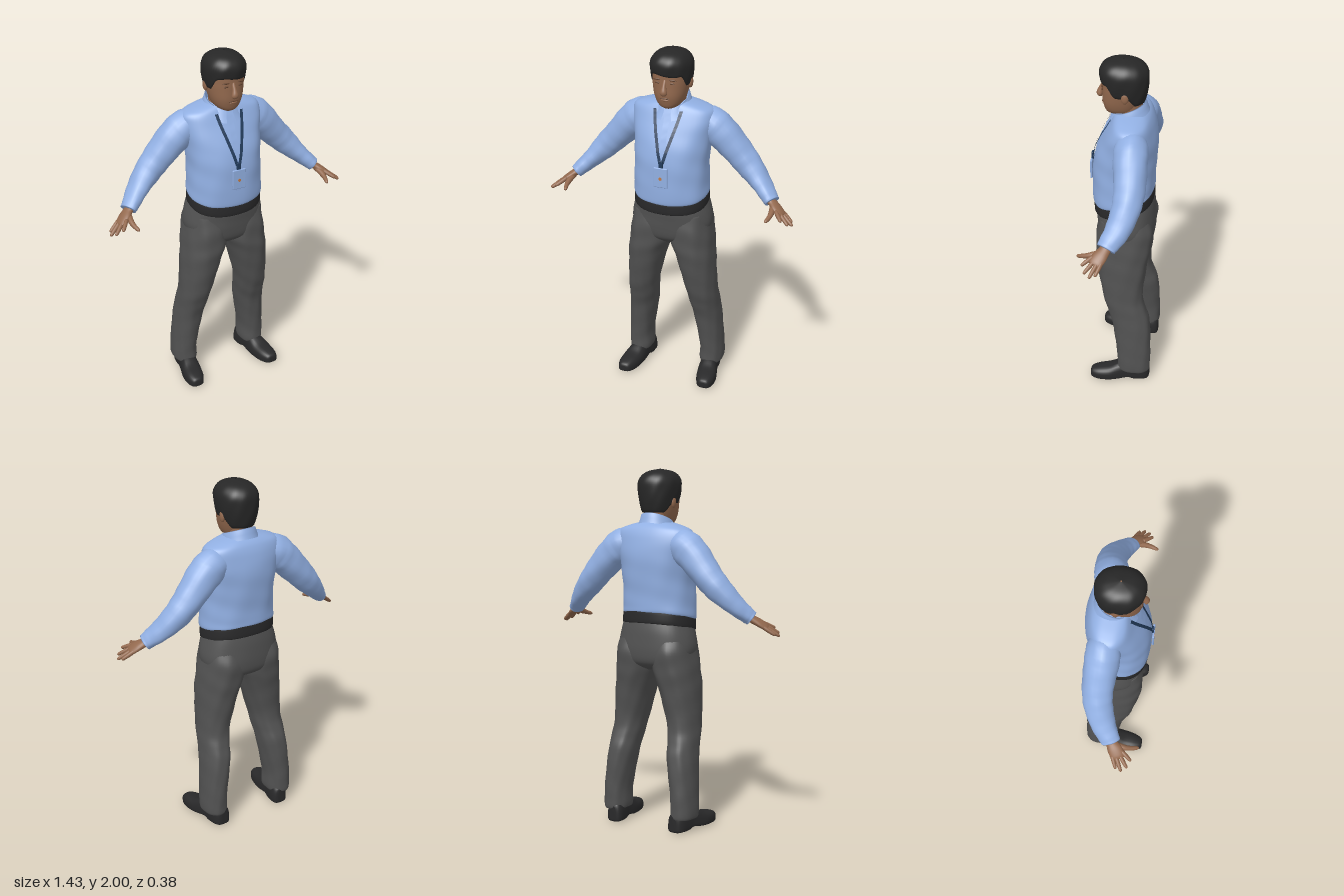
import * as THREE from 'three';
import { RoundedBoxGeometry } from 'three/addons/geometries/RoundedBoxGeometry.js';

const V = (x, y, z) => new THREE.Vector3(x, y, z);
const paint = (name, color, open) => {
  const m = new THREE.MeshStandardMaterial({ color });
  m.name = name;
  if (open) m.side = THREE.DoubleSide;
  return m;
};

// Smoothly resample rows of numbers with a Catmull-Rom rule
function smooth(rows, steps) {
  const out = [], last = rows.length - 1;
  for (let i = 0; i < last; i++) {
    const [a, b, c, d] = [rows[Math.max(i - 1, 0)], rows[i], rows[i + 1], rows[Math.min(i + 2, last)]];
    for (let k = 0; k < steps; k++) {
      const t = k / steps;
      out.push(b.map((p, j) => p + 0.5 * t * (c[j] - a[j] + t * (2 * a[j] - 5 * p + 4 * c[j] - d[j]
        + t * (3 * (p - c[j]) + d[j] - a[j])))));
    }
  }
  out.push(rows[last].slice());
  return out;
}

// Surface through a list of equal-length rings
function skin(rings, closed = true, caps = true) {
  if (caps) {
    const middle = r => r.map(() => r.reduce((s, p) => s.add(p), V(0, 0, 0)).divideScalar(r.length));
    const ends = [middle(rings[0]), middle(rings[rings.length - 1])].map(r => r.map(p => p.clone()));
    rings = [ends[0], ...rings, ends[1]];
  }
  const n = rings[0].length, index = [];
  for (let v = 0; v < rings.length - 1; v++) {
    for (let u = 0; u < (closed ? n : n - 1); u++) {
      const a = v * n + u, b = v * n + (u + 1) % n;
      index.push(a, a + n, b, b, a + n, b + n);
    }
  }
  const g = new THREE.BufferGeometry().setFromPoints(rings.flat());
  g.setIndex(index);
  g.computeVertexNormals();
  return g;
}

const spow = (v, p) => Math.sign(v) * Math.abs(v) ** p;
const turn = (n, f) => Array.from({ length: n }, (_, i) => f(i / n * Math.PI * 2));

// Upright form, rows bottom up: [y, x centre, half width, back z, front z, tilt]
const POWER = 2.3;
function column(rows, folds = 0, steps = 6) {
  return skin(smooth(rows, steps).map(([y, xc, hw, zb, zf, tilt = 0]) => turn(48, a => {
    const f = 1 + folds * Math.sin(y * 31 + a * 3) * Math.sin(a * 5 - y * 17);
    const z = (zb + zf) / 2 + (zf - zb) / 2 * f * spow(Math.sin(a), 2 / POWER);
    return V(xc + hw * f * spow(Math.cos(a), 2 / POWER), y - tilt * z, z);
  })));
}

// Front surface of a column at (x, y)
function frontZ(rows, x, y) {
  const s = smooth(rows, 20).reduce((p, q) => Math.abs(q[0] - y) < Math.abs(p[0] - y) ? q : p);
  const k = Math.max(0, 1 - Math.abs(x / s[2]) ** POWER) ** (1 / POWER);
  return (s[3] + s[4]) / 2 + (s[4] - s[3]) / 2 * k;
}

// Form along a path: [x, y, z, radius across, radius sideways]
function limb(rows, folds = 0, steps = 5, sides = 24) {
  const s = smooth(rows, steps), pts = s.map(r => V(r[0], r[1], r[2]));
  return skin(s.map((r, i) => {
    const t = pts[Math.min(i + 1, s.length - 1)].clone().sub(pts[Math.max(i - 1, 0)]).normalize();
    const n = V(0, 0, 1).cross(t).normalize(), b = n.clone().cross(t);
    return turn(sides, a => {
      const f = 1 + folds * Math.sin(i * 1.1 + a * 2) * Math.sin(a * 3 - i * 0.6);
      return pts[i].clone().addScaledVector(n, r[3] * f * Math.cos(a)).addScaledVector(b, r[4] * f * Math.sin(a));
    });
  }));
}

function mirrored(geo) {
  const g = geo.clone().scale(-1, 1, 1), ix = g.index.array;
  for (let i = 0; i < ix.length; i += 3) [ix[i], ix[i + 1]] = [ix[i + 1], ix[i]];
  g.computeVertexNormals();
  return g;
}

export function createModel() {
  const model = new THREE.Group();
  model.name = 'standingMan';
  const shirt = paint('shirtBlue', 0x91afe2, true), trouser = paint('trouserGrey', 0x525252);
  const hairMat = paint('hairBlack', 0x272727, true), flesh = paint('skin', 0x93694e);
  const feature = paint('faceShade', 0x674631), leather = paint('blackLeather', 0x29292a);
  const navy = paint('lanyardNavy', 0x223b5a, true), orange = paint('badgeOrange', 0xc07a45);
  const add = (name, geo, mat) => {
    const m = new THREE.Mesh(geo, mat);
    m.name = name;
    model.add(m);
    return m;
  };
  const pair = (name, geo, mat) => {
    add('left' + name, geo, mat);
    add('right' + name, mirrored(geo), mat);
  };
  const ball = (x, y, z, sx, sy, sz) => new THREE.SphereGeometry(1, 20, 14).scale(sx, sy, sz).translate(x, y, z);

  // Trousers
  add('trouserSeat', column([[0.89, 0, 0.14, -0.1, 0.08, 0], [0.93, 0, 0.2, -0.165, 0.125, 0],
    [1, 0, 0.23, -0.18, 0.14, 0], [1.08, 0, 0.222, -0.176, 0.147, 0.1], [1.15, 0, 0.203, -0.162, 0.152, 0.2]], 0.008), trouser);
  pair('TrouserLeg', column([[0.075, 0.223, 0.064, -0.183, 0], [0.1, 0.223, 0.068, -0.188, 0.004],
    [0.2, 0.221, 0.067, -0.188, 0.007], [0.4, 0.198, 0.077, -0.18, 0.035], [0.5, 0.187, 0.081, -0.153, 0.066],
    [0.6, 0.175, 0.086, -0.133, 0.095], [0.8, 0.143, 0.107, -0.155, 0.13], [0.9, 0.12, 0.12, -0.17, 0.137],
    [1, 0.115, 0.112, -0.175, 0.135], [1.08, 0.11, 0.1, -0.15, 0.12]], 0.022), trouser);
  add('belt', column([[1.125, 0, 0.2, -0.163, 0.15, 0.2], [1.13, 0, 0.21, -0.171, 0.16, 0.2],
    [1.19, 0, 0.208, -0.169, 0.16, 0.2], [1.195, 0, 0.2, -0.163, 0.15, 0.2]], 0, 3), leather);

  // Shoes, from toe to heel: [z, x centre, half width, height, underside]
  const shoeRows = [[0.16, 0.25, 0.018, 0.045, 0.015], [0.15, 0.249, 0.035, 0.06, 0.006], [0.11, 0.245, 0.052, 0.072, 0],
    [0.05, 0.237, 0.059, 0.083, 0], [0, 0.228, 0.056, 0.105, 0.003], [-0.06, 0.219, 0.05, 0.125, 0.014],
    [-0.1, 0.213, 0.051, 0.13, 0], [-0.15, 0.207, 0.05, 0.12, 0], [-0.175, 0.204, 0.038, 0.105, 0], [-0.183, 0.203, 0.02, 0.09, 0.01]];
  pair('Shoe', skin(smooth(shoeRows, 4).map(([z, xc, hw, top, low]) => turn(28, a => {
    const s = Math.sin(a), up = s > 0 ? 0.03 + (top - 0.03) * s ** 0.85 : 0.03 - (0.03 - low) * Math.abs(s) ** 0.35;
    return V(xc + hw * spow(Math.cos(a), 0.75), up, z);
  }))), leather);

  // Shirt body and sleeves
  const torso = [[1.183, 0, 0.195, -0.16, 0.15, 0.2], [1.19, 0, 0.21, -0.171, 0.166, 0.19], [1.25, 0, 0.209, -0.171, 0.168, 0.06],
    [1.35, 0, 0.205, -0.176, 0.167, 0], [1.45, 0, 0.21, -0.184, 0.155, 0], [1.55, 0, 0.224, -0.183, 0.117, 0],
    [1.62, 0, 0.235, -0.168, 0.082, 0], [1.665, 0, 0.222, -0.152, 0.06, 0], [1.69, 0, 0.165, -0.135, 0.048, 0],
    [1.71, 0, 0.085, -0.11, 0.035, 0]];
  add('shirtBody', column(torso, 0.012), shirt);
  pair('Sleeve', limb([[0.13, 1.6, -0.06, 0.075, 0.075], [0.2, 1.578, -0.068, 0.096, 0.09], [0.262, 1.53, -0.074, 0.093, 0.092],
    [0.355, 1.43, -0.083, 0.08, 0.084], [0.428, 1.353, -0.076, 0.071, 0.077], [0.505, 1.275, -0.045, 0.052, 0.068],
    [0.56, 1.222, -0.008, 0.042, 0.056], [0.58, 1.203, 0.004, 0.038, 0.052]], 0.03), shirt);

  // Ribbon lying on the chest through [x, y] points
  const ribbon = (path, half, lift) => skin([-half, half].map(o => smooth(path, 10)
    .map(([x, y]) => V(x + o, y, frontZ(torso, x + o, y) + lift))), false, false);
  add('placket', ribbon([[0, 1.66], [0, 1.5], [0, 1.35], [0, 1.25]], 0.016, 0.003), shirt);

  // Collar: stand and folded flap swept round the neck
  const collar = [];
  for (const [out, drop, tip] of [[-0.006, 0.05, 0], [0, 0, 0], [0.006, 0.002, 0], [0.014, 0.03, 0.01], [0.024, 0.055, 0.03]]) {
    const ring = [];
    for (let i = 0; i <= 48; i++) {
      const k = i / 48, a = Math.PI / 2 + 0.2 + k * (Math.PI * 2 - 0.4);
      const s = Math.sin(a), front = Math.max(0, s) ** 3;
      ring.push(V((0.082 + out) * Math.cos(a) * (1 + front * tip * 14),
        1.727 - 0.036 * s - drop - front * tip * 0.5, -0.028 + (0.086 + out) * s + front * tip * 0.5));
    }
    collar.push(ring);
  }
  add('collar', skin(collar, false, false), shirt);

  // Lanyard and badge
  for (const s of [-1, 1]) {
    add(s > 0 ? 'leftLanyard' : 'rightLanyard',
      ribbon([[s * 0.075, 1.672], [s * 0.06, 1.6], [s * 0.033, 1.5], [s * 0.006, 1.4]], 0.009, 0.007), navy);
  }
  add('badgeClip', new RoundedBoxGeometry(0.024, 0.045, 0.012, 2, 0.004), navy).position.set(0, 1.397, 0.173);
  add('badge', new RoundedBoxGeometry(0.08, 0.115, 0.012, 3, 0.005), shirt).position.set(0, 1.323, 0.177);
  add('badgeMark', new THREE.CylinderGeometry(0.009, 0.009, 0.003, 16).rotateX(Math.PI / 2), orange).position.set(0, 1.318, 0.184);

  // Hands
  const slope = (x, d = 0) => 1.112 + (0.71 - x) * 0.7 + d;
  pair('Palm', limb([[0.55, 1.222, -0.005, 0.024, 0.031], [0.585, 1.198, 0.01, 0.021, 0.032], [0.615, slope(0.615), 0.03, 0.019, 0.04],
    [0.642, slope(0.642), 0.046, 0.015, 0.039], [0.655, slope(0.655), 0.053, 0.009, 0.032]]), flesh);
  const fingers = [[0.645, 0.018, 0.705, 0.042], [0.65, 0.04, 0.715, 0.072], [0.642, 0.06, 0.697, 0.102], [0.625, 0.074, 0.662, 0.12]];
  fingers.forEach(([x0, z0, x1, z1], i) => {
    const at = (t, r) => { const x = x0 + (x1 - x0) * t; return [x, slope(x), z0 + (z1 - z0) * t, r, r]; };
    pair('Finger' + (i + 1), limb([at(-0.2, 0.011), at(0.3, 0.0115), at(0.8, 0.0095), at(0.95, 0.007), at(1, 0.003)], 0, 3, 12), flesh);
  });
  pair('Thumb', limb([[0.588, 1.186, 0.025, 0.015, 0.016], [0.597, 1.172, 0.07, 0.016, 0.017], [0.596, 1.16, 0.11, 0.013, 0.013],
    [0.588, 1.15, 0.145, 0.01, 0.01], [0.585, 1.147, 0.156, 0.004, 0.004]], 0, 4, 14), flesh);

  // Neck, head and ears
  add('neck', column([[1.64, 0, 0.066, -0.095, 0.045], [1.69, 0, 0.066, -0.098, 0.042], [1.78, 0, 0.068, -0.1, 0.04]]), flesh);
  const head = [[1.685, 0, 0.03, -0.02, 0.078], [1.697, 0, 0.052, -0.05, 0.094], [1.72, 0, 0.072, -0.07, 0.104],
    [1.76, 0, 0.087, -0.09, 0.113], [1.81, 0, 0.097, -0.11, 0.114], [1.85, 0, 0.1, -0.115, 0.114],
    [1.9, 0, 0.099, -0.115, 0.112], [1.95, 0, 0.08, -0.09, 0.085], [1.975, 0, 0.04, -0.04, 0.04]];
  add('head', column(head), flesh);
  pair('Ear', ball(0.1, 1.818, -0.018, 0.012, 0.032, 0.02), flesh);

  // Face
  add('nose', limb([[0, 1.856, 0.106, 0.009, 0.008], [0, 1.82, 0.121, 0.012, 0.013], [0, 1.793, 0.129, 0.019, 0.017],
    [0, 1.782, 0.126, 0.018, 0.014], [0, 1.774, 0.117, 0.008, 0.006]]), flesh);
  const onFace = (x, y, w, h, d) => ball(x, y, frontZ(head, x, y), w, h, d);
  pair('Eye', onFace(0.04, 1.837, 0.016, 0.005, 0.004), feature);
  pair('Eyebrow', onFace(0.041, 1.856, 0.023, 0.005, 0.006), feature);
  add('mouth', onFace(0, 1.752, 0.027, 0.004, 0.004), feature);
  add('lowerLip', onFace(0, 1.743, 0.022, 0.006, 0.006), flesh);

  // Hair: a cap whose lower edge follows the hairline
  const hairRows = smooth([[1.755, 0.086, -0.112, 0.1], [1.82, 0.104, -0.126, 0.115], [1.88, 0.113, -0.132, 0.125], [1.93, 0.112, -0.13, 0.13],
    [1.965, 0.094, -0.108, 0.113], [1.988, 0.06, -0.067, 0.075], [2, 0.004, -0.002, 0.006]], 12);
  const step = THREE.MathUtils.smoothstep;
  const hairline = a => {
    const s = Math.sin(a);
    return 1.762 + 0.05 * step(s, -0.6, -0.15) + 0.065 * step(s, 0.3, 0.72) + 0.006 * Math.cos(a * 3) * step(s, 0.5, 1);
  };
  const hairRing = (t, inset) => turn(56, a => {
    const low = hairline(a), y = low + (2 - low) * t;
    let i = hairRows.findIndex(r => r[0] >= y - 1e-6);
    if (i < 1) i = 1;
    const [p, q] = [hairRows[i - 1], hairRows[i]], k = (y - p[0]) / (q[0] - p[0]);
    const [, hw, zb, zf] = p.map((n, j) => n + (q[j] - n) * k);
    const f = inset * (1 + 0.008 * Math.sin(a * 9 + y * 40));
    return V(hw * f * spow(Math.cos(a), 0.92), y, (zb + zf) / 2 + (zf - zb) / 2 * f * spow(Math.sin(a), 0.92));
  });
  const hairRings = [hairRing(0, 0.82)];
  for (let i = 0; i <= 28; i++) hairRings.push(hairRing(1 - (1 - i / 28) ** 1.8, i ? 1 : 0.98));
  add('hair', skin(hairRings, true, false), hairMat);

  return model;
}
